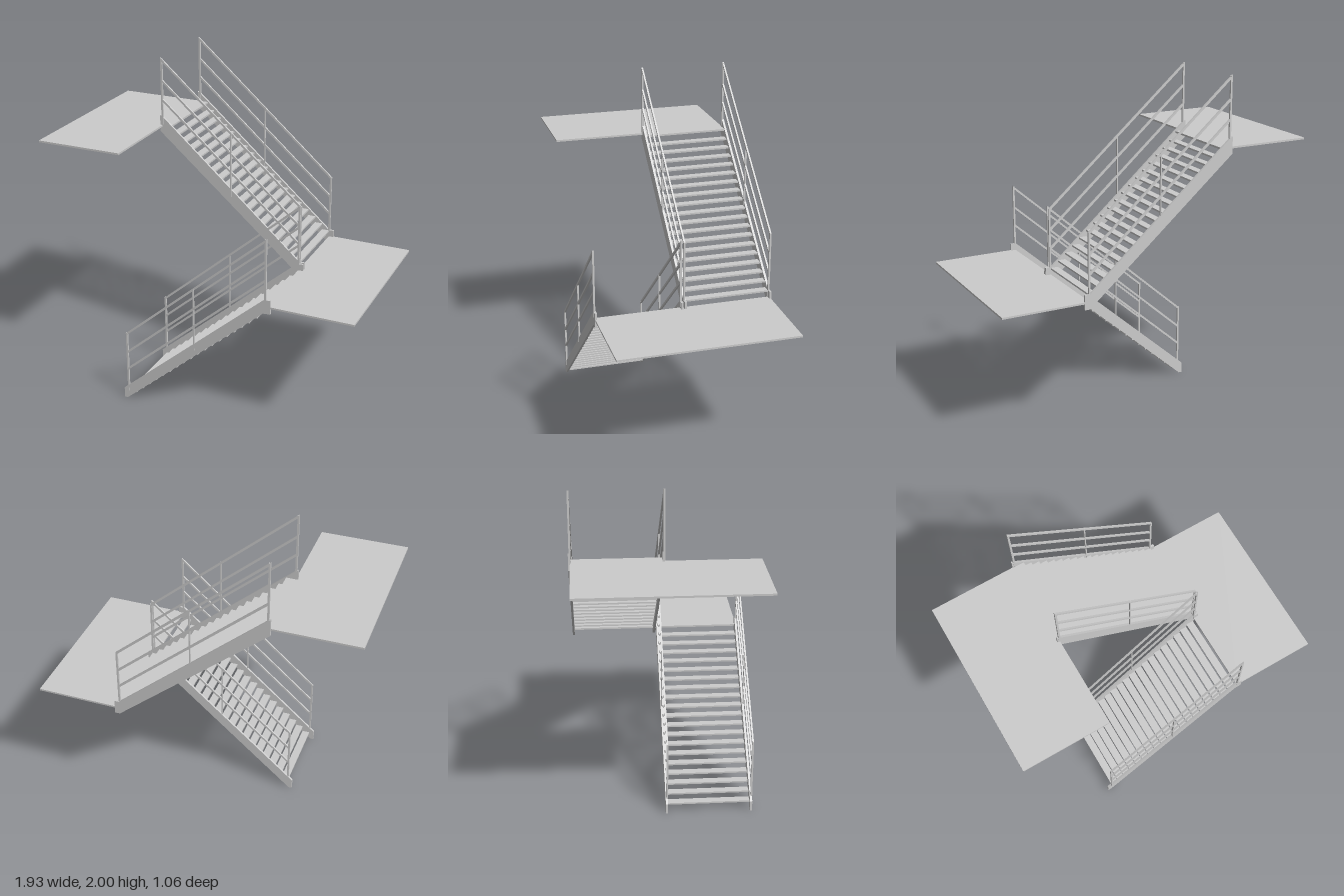
import * as THREE from 'three';

const material = new THREE.MeshStandardMaterial({ color: 0xcccccc, flatShading: true });

function box(name, w, h, d, x, y, z) {
  const mesh = new THREE.Mesh(new THREE.BoxGeometry(w, h, d), material);
  mesh.position.set(x, y, z);
  mesh.name = name;
  return mesh;
}

// Flat plate cut from an x-y outline, centred on z
function plate(name, points, z, thickness) {
  const shape = new THREE.Shape(points.map(([x, y]) => new THREE.Vector2(x, y)));
  const geometry = new THREE.ExtrudeGeometry(shape, { depth: thickness, bevelEnabled: false });
  geometry.translate(0, 0, z - thickness / 2);
  const mesh = new THREE.Mesh(geometry, material);
  mesh.name = name;
  return mesh;
}

const SLOPE = 0.873;
const HALF = 0.445;
const RUN = 0.0466;

// dir = +1 climbs towards +x, -1 climbs towards -x
function flight({ name, dir, outline, sides, railTop, postFoot, treads, firstY, rise }) {
  const group = new THREE.Group();
  group.name = name;

  for (const z of sides) {
    group.add(plate('stringer', outline.map(([s, y]) => [s * dir, y]), z, 0.013));

    // Posts and sloping rails of one balustrade
    const zr = z + 0.003;
    for (const [s, w] of [[-HALF, 0.011], [0, 0.007], [HALF, 0.011]]) {
      const top = railTop + SLOPE * s - 0.002;
      const foot = postFoot + SLOPE * s;
      group.add(box('railPost', w, top - foot, 0.011, s * dir, (top + foot) / 2, zr));
    }
    for (const drop of [0, 0.125, 0.24]) {
      const e = HALF + 0.005;
      const y = railTop - drop;
      const corners = [
        [-e, y - SLOPE * e - 0.016], [e, y + SLOPE * e - 0.016],
        [e, y + SLOPE * e], [-e, y - SLOPE * e],
      ];
      group.add(plate(drop ? 'midRail' : 'handrail', corners.map(([s, v]) => [s * dir, v]), zr, 0.01));
    }
  }

  // Open treads between the stringers
  const width = Math.abs(sides[0] - sides[1]) - 0.012;
  const zMid = (sides[0] + sides[1]) / 2;
  for (let i = 0; i < treads; i++) {
    const s = -HALF + RUN * (i + 0.5);
    group.add(box('tread', RUN, 0.01, width, s * dir, firstY + rise * i, zMid));
  }
  return group;
}

export function createModel() {
  const model = new THREE.Group();
  model.name = 'switchbackStair';

  model.add(flight({
    name: 'lowerFlight', dir: 1, sides: [0.515, 0.010],
    outline: [[-0.475, 0], [-0.455, 0], [0.435, 0.778], [0.475, 0.778],
      [0.475, 0.863], [0.44, 0.863], [-0.445, 0.09], [-0.475, 0.064]],
    railTop: 0.842, postFoot: 0.44, treads: 19, firstY: 0.047, rise: 0.0404,
  }));

  model.add(flight({
    name: 'upperFlight', dir: -1, sides: [-0.010, -0.523],
    outline: [[-0.475, 0.778], [-0.445, 0.778], [0.46, 1.556],
      [0.46, 1.655], [0.445, 1.648], [-0.445, 0.865], [-0.475, 0.865]],
    railTop: 1.612, postFoot: 1.21, treads: 18, firstY: 0.858, rise: 0.0402,
  }));

  // Landings
  model.add(box('middleLanding', 0.52, 0.011, 1.044, 0.705, 0.817, -0.004));
  model.add(box('topLanding', 0.52, 0.011, 1.052, -0.705, 1.59, 0.006));
  model.add(box('topLandingNosing', 0.055, 0.011, 0.5, -0.4175, 1.59, -0.2665));
  return model;
}
